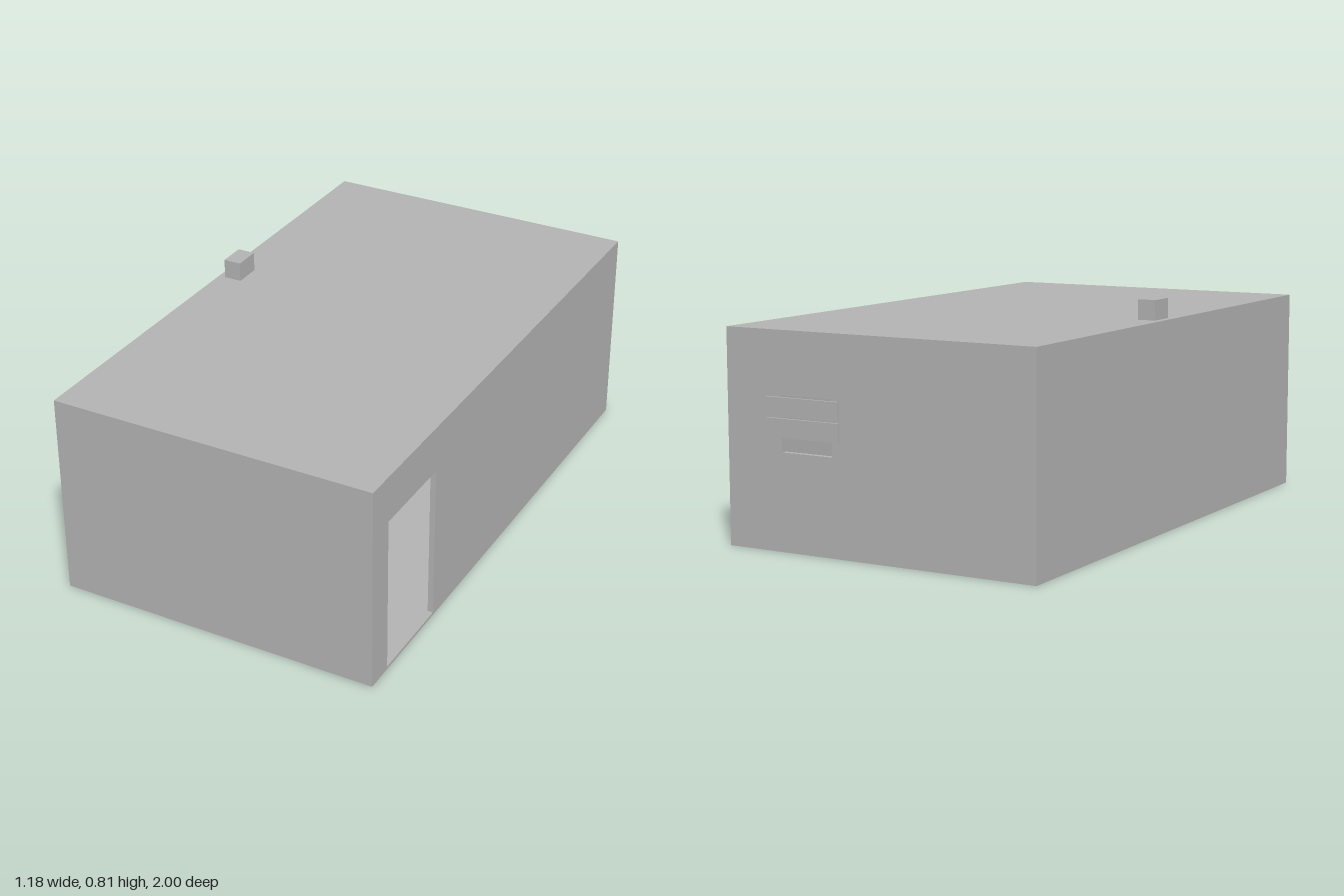
import * as THREE from 'three';

export function createModel() {
  const house = new THREE.Group();
  house.name = 'house';
  const grey = new THREE.MeshStandardMaterial({ color: 0xb2b2b2 });
  grey.name = 'plain grey';

  const W = 0.59, BACK = -0.99, FRONT = 1, H = 0.74, T = 0.02;

  function add(name, geometry, parent = house) {
    const mesh = new THREE.Mesh(geometry, grey);
    mesh.name = name;
    parent.add(mesh);
    return mesh;
  }

  // Box given by its lower and upper limits on each axis
  function box(name, [x0, x1], [y0, y1], [z0, z1], parent) {
    const mesh = add(name, new THREE.BoxGeometry(x1 - x0, y1 - y0, z1 - z0), parent);
    mesh.position.set((x0 + x1) / 2, (y0 + y1) / 2, (z0 + z1) / 2);
    return mesh;
  }

  function rectangle(Kind, a0, a1, b0, b1) {
    return new Kind([[a0, b0], [a1, b0], [a1, b1], [a0, b1]].map(p => new THREE.Vector2(...p)));
  }

  // Upright wall slab with an opening cut through it
  function wall(name, a0, a1, opening) {
    const shape = rectangle(THREE.Shape, a0, a1, 0, H);
    shape.holes.push(rectangle(THREE.Path, ...opening));
    return add(name, new THREE.ExtrudeGeometry(shape, { depth: T, bevelEnabled: false }));
  }

  // Shell: front and back walls span the width, side walls fit between them
  box('frontWall', [-W, W], [0, H], [FRONT - T, FRONT]);
  box('rightWall', [-W, -W + T], [0, H], [BACK + T, FRONT - T]);
  const backWall = wall('backWall', -W, W, [0.17, 0.37, 0.335, 0.525]);
  backWall.position.z = BACK;
  const doorWall = wall('doorWall', -(FRONT - T), -(BACK + T), [-0.895, -0.56, 0.01, 0.575]);
  doorWall.rotation.y = Math.PI / 2;
  doorWall.position.x = W - T;

  // Roof and floor inside the walls
  box('roof', [-W + T, W - T], [H - T, H], [BACK + T, FRONT - T]);
  box('floor', [-W + T, W - T], [0, 0.01], [BACK + T, FRONT - T]);

  // Small chimney near the roof edge
  box('chimney', [-0.565, -0.5], [H, 0.81], [-0.13, -0.03]);

  // Two boards nailed over the back window
  for (const y of [0.385, 0.455]) {
    box('windowBoard', [0.14, 0.43], [y, y + 0.064], [-1, BACK]);
  }

  // Chest of drawers against the far wall, seen through the doorway
  const chest = new THREE.Group();
  chest.name = 'chestOfDrawers';
  house.add(chest);
  box('chestBody', [-W + T, -0.4], [0.01, 0.295], [0.38, 0.74], chest);
  for (const y of [0.045, 0.125, 0.205]) {
    box('drawerFront', [-0.4, -0.392], [y, y + 0.06], [0.395, 0.725], chest);
  }

  return house;
}
